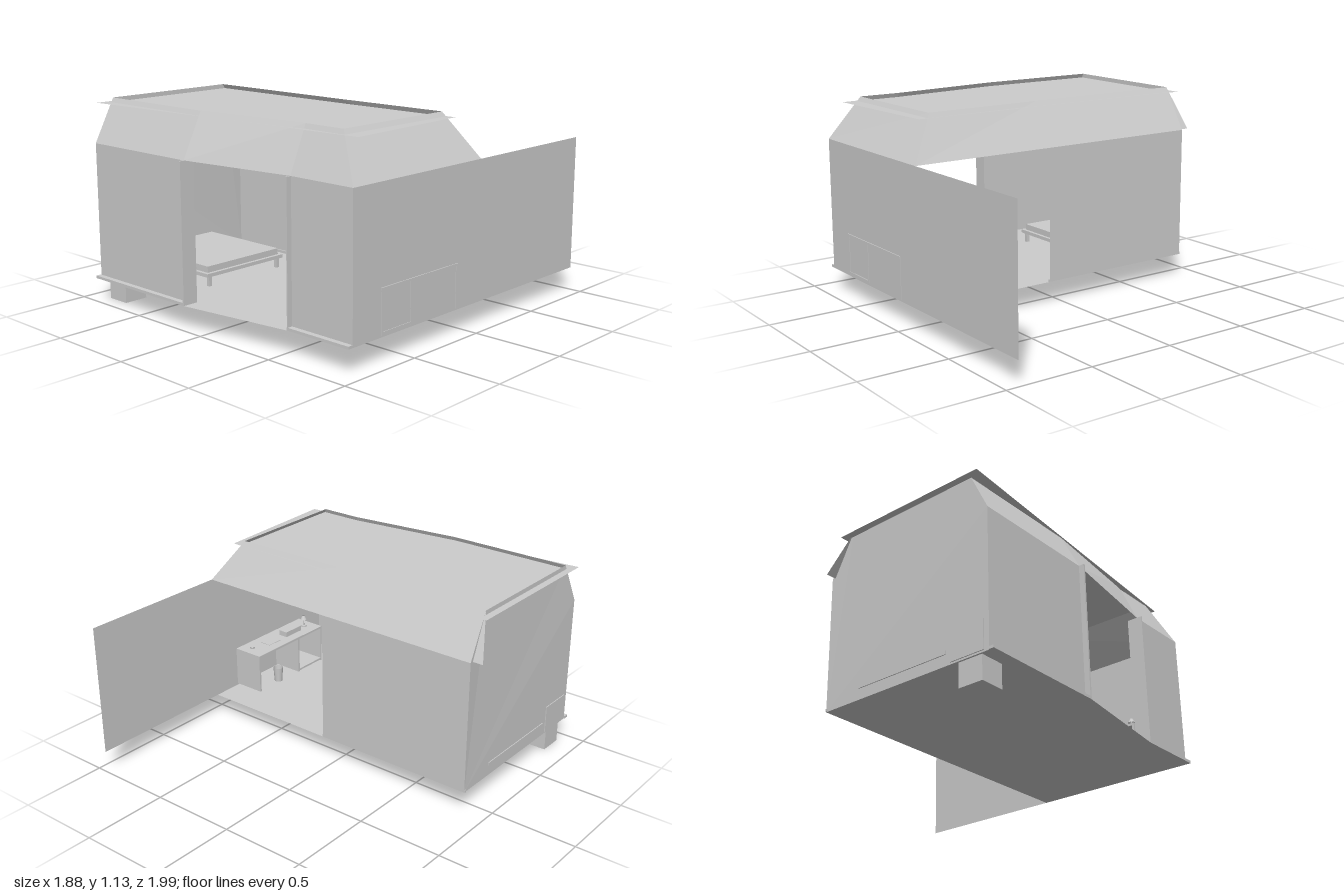
import * as THREE from 'three';

const mat = new THREE.MeshStandardMaterial({ color: 0xcccccc, flatShading: true, side: THREE.DoubleSide });
const smoothMat = new THREE.MeshStandardMaterial({ color: 0xcccccc, side: THREE.DoubleSide });

// Thin flat panel fanned from its first corner
function panel(name, corners) {
  const pos = [];
  for (let i = 1; i < corners.length - 1; i++) pos.push(...corners[0], ...corners[i], ...corners[i + 1]);
  const g = new THREE.BufferGeometry();
  g.setAttribute('position', new THREE.Float32BufferAttribute(pos, 3));
  g.computeVertexNormals();
  const m = new THREE.Mesh(g, mat);
  m.name = name;
  return m;
}

// Box given by its limits on each axis
function box(name, x0, x1, y0, y1, z0, z1) {
  const m = new THREE.Mesh(new THREE.BoxGeometry(x1 - x0, y1 - y0, z1 - z0), mat);
  m.position.set((x0 + x1) / 2, (y0 + y1) / 2, (z0 + z1) / 2);
  m.name = name;
  return m;
}

function cylinder(name, r0, r1, h, x, y, z, open = false) {
  const m = new THREE.Mesh(new THREE.CylinderGeometry(r0, r1, h, 16, 1, open), smoothMat);
  m.position.set(x, y + h / 2, z);
  m.name = name;
  return m;
}

function group(name, ...parts) {
  const g = new THREE.Group();
  g.name = name;
  g.add(...parts);
  return g;
}

const FLOOR = 0.13, EAVE = 0.89, TOP = 1.13;

function createShell() {
  const wall = (name, x0, z0, x1, z1) =>
    panel(name, [[x0, FLOOR, z0], [x1, FLOOR, z1], [x1, EAVE, z1], [x0, EAVE, z0]]);
  return group('shell',
    panel('floor', [[-0.88, -0.1], [-0.88, 0.99], [-0.14, 0.99], [0.53, 0.9], [0.93, 0.9], [0.93, -0.1]]
      .map(([x, z]) => [x, FLOOR, z])),
    wall('frontWallRight', -0.88, 0.96, -0.14, 0.96),
    wall('frontWallLeft', 0.53, 0.87, 0.93, 0.87),
    wall('longSideWall', 0.93, 0.87, 0.93, -1),
    wall('backWall', 0.09, -0.1, -0.88, -0.1),
    panel('gableWall', [[-0.88, FLOOR, -0.1], [-0.88, FLOOR, 0.96], [-0.88, EAVE, 0.96],
      [-0.87, TOP, 0.84], [-0.87, TOP, 0.035], [-0.88, EAVE, -0.1]]),
    // door jambs and base trims
    box('doorJamb', -0.145, -0.135, FLOOR, EAVE, 0.9, 0.99),
    box('doorJamb', 0.528, 0.534, FLOOR, EAVE, 0.81, 0.9),
    box('frontTrim', -0.885, -0.135, FLOOR, 0.145, 0.96, 0.99),
    box('frontTrim', 0.525, 0.93, FLOOR, 0.145, 0.87, 0.9),
    box('backTrim', -0.885, 0.095, FLOOR, 0.145, -0.1, -0.092),
    box('foot', -0.87, -0.73, 0, FLOOR, 0.77, 0.91));
}

function createRoof() {
  // eave line and matching upper rim, walked from front to back
  const eave = [[-0.88, 0.96], [-0.14, 0.96], [0.53, 0.87], [0.93, 0.87], [0.93, -0.1], [0.09, -0.1], [-0.88, -0.1]];
  const rim = [[-0.87, 0.84], [-0.14, 0.84], [0.53, 0.765], [0.775, 0.765], [0.77, 0.025], [0.09, 0.035], [-0.87, 0.035]];
  const roof = group('roof');
  for (let i = 0; i < eave.length - 1; i++) {
    const [a, b, c, d] = [eave[i], eave[i + 1], rim[i + 1], rim[i]];
    roof.add(panel('roofSlope', [[a[0], EAVE, a[1]], [b[0], EAVE, b[1]], [c[0], TOP, c[1]], [d[0], TOP, d[1]]]));
  }
  // flap past the gable and the thin ceiling sheet
  roof.add(
    panel('eaveFlap', [[-0.88, EAVE, -0.08], [-0.94, EAVE, -0.08], [-0.87, TOP, 0.035]]),
    panel('roofSheet', [[-0.91, -0.02], [-0.91, 0.92], [0.88, 0.78], [0.84, 0.005]].map(([x, z]) => [x, 1.105, z])));
  return roof;
}

function createBed() {
  const bed = group('bed',
    box('bedFrame', -0.885, -0.28, 0.19, 0.21, 0.13, 0.7),
    box('mattress', -0.87, -0.3, 0.21, 0.245, 0.15, 0.68),
    box('nightstand', -0.885, -0.78, 0.14, 0.3, 0.73, 0.93));
  for (const x of [-0.84, -0.3]) for (const z of [0.16, 0.67])
    bed.add(box('bedLeg', x - 0.01, x + 0.01, 0.135, 0.19, z - 0.01, z + 0.01));
  return bed;
}

function createDesk() {
  const desk = group('desk', box('deskTop', 0.74, 0.935, 0.365, 0.378, 0.08, 0.67));
  for (const z of [0.08, 0.44, 0.658])
    desk.add(box('deskPanel', 0.74, 0.933, 0.14, 0.365, z, z + 0.012));
  desk.add(
    box('deskShelf', 0.74, 0.933, 0.145, 0.157, 0.452, 0.658),
    box('deskBox', 0.8, 0.86, 0.378, 0.41, 0.4, 0.54),
    box('paper', 0.8, 0.87, 0.378, 0.381, 0.24, 0.34),
    cylinder('dish', 0.018, 0.014, 0.008, 0.86, 0.378, 0.15),
    cylinder('lampBase', 0.018, 0.018, 0.008, 0.83, 0.378, 0.6),
    cylinder('lampStem', 0.004, 0.004, 0.05, 0.83, 0.382, 0.6),
    cylinder('lampShade', 0.008, 0.02, 0.025, 0.83, 0.425, 0.6, true),
    cylinder('wasteBin', 0.03, 0.024, 0.09, 0.76, 0.14, 0.27, true));
  return desk;
}

export function createModel() {
  return group('cabin', createShell(), createRoof(), createBed(), createDesk());
}
